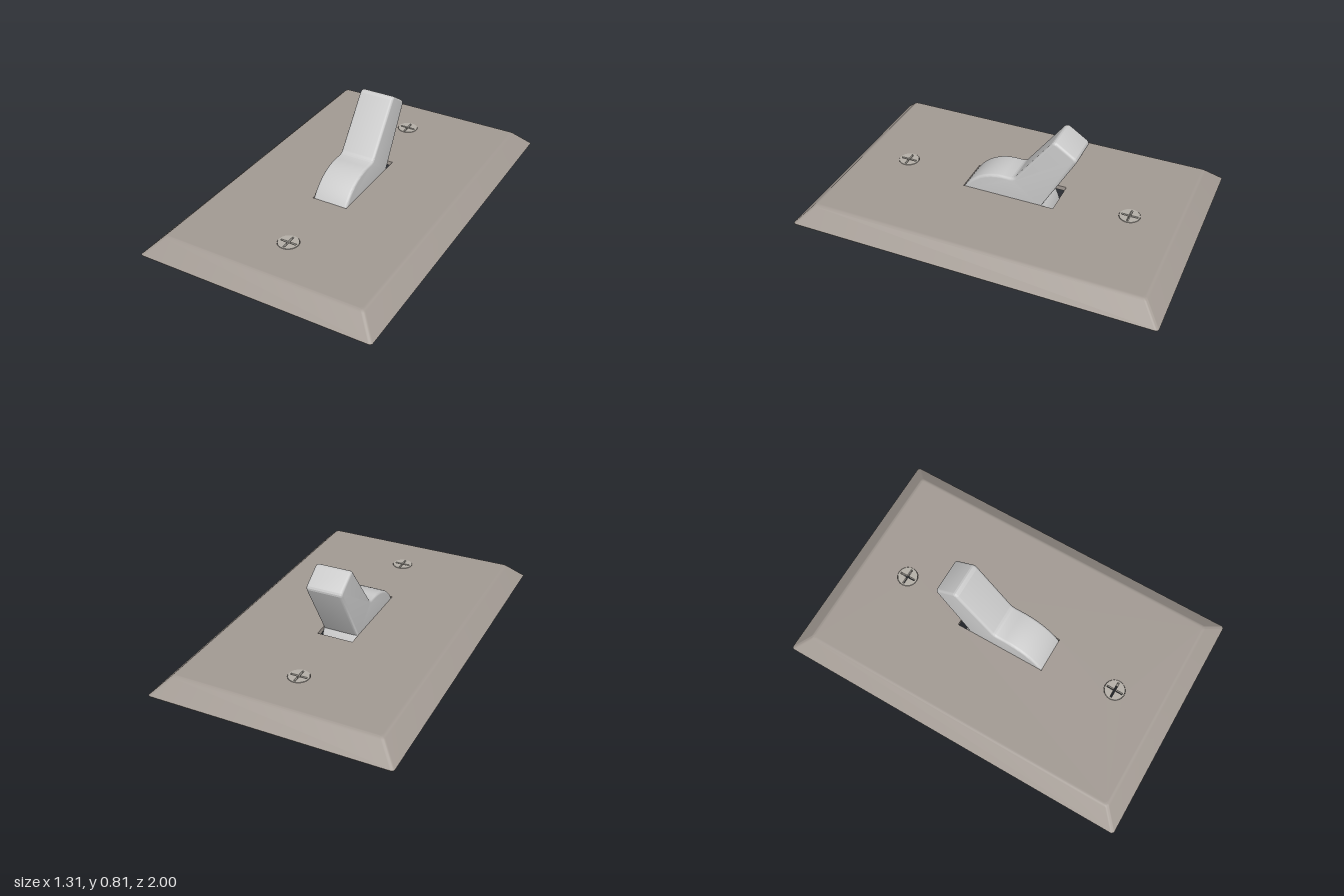
import * as THREE from 'three';
import { toCreasedNormals } from 'three/addons/utils/BufferGeometryUtils.js';

const W = 0.655, D = 1.0, TOP = 0.41, UNDER = 0.385, SCREW_Z = 0.65;

function mesh(name, geometry, material) {
  const m = new THREE.Mesh(geometry, material);
  m.name = name;
  return m;
}

// Corner-rounded rectangle loop, seen from above
function rectLoop(w, d, r, y, seg = 4) {
  const pts = [];
  [[1, 1], [1, -1], [-1, -1], [-1, 1]].forEach(([sx, sz], c) => {
    for (let i = 0; i <= seg; i++) {
      const a = Math.PI / 2 * (1 - c - i / seg);
      pts.push([sx * (w - r) + r * Math.cos(a), y, sz * (d - r) + r * Math.sin(a)]);
    }
  });
  return pts;
}

// Bevelled hollow rim, lofted from [inset, y] steps
function rimGeometry() {
  const profile = [
    [0.105, TOP], [0.099, TOP], [0.092, 0.408], [0.084, 0.402], [0.005, 0.323], [0, 0.319],
    [0.002, 0.315], [0.033, 0.315], [0.105, UNDER],
  ];
  const loops = profile.map(([inset, y]) => rectLoop(W - inset, D - inset, 0.016, y));
  const n = loops[0].length, pos = [];
  for (let k = 0; k < loops.length - 1; k++) {
    for (let i = 0; i < n; i++) {
      const j = (i + 1) % n;
      const a = loops[k][i], b = loops[k][j], c = loops[k + 1][j], d = loops[k + 1][i];
      pos.push(...a, ...d, ...c, ...a, ...c, ...b);
    }
  }
  const g = new THREE.BufferGeometry();
  g.setAttribute('position', new THREE.Float32BufferAttribute(pos, 3));
  return toCreasedNormals(g, 0.5);
}

function rectPath(Type, w, d) {
  return new Type([[-w, -d], [w, -d], [w, d], [-w, d]].map(p => new THREE.Vector2(...p)));
}

// Flat slab with the lever slot and two screw holes
function slabGeometry() {
  const shape = rectPath(THREE.Shape, W - 0.105, D - 0.105);
  shape.holes.push(rectPath(THREE.Path, 0.101, 0.26));
  for (const s of [-1, 1]) {
    shape.holes.push(new THREE.Path().absarc(0, s * SCREW_Z, 0.057, 0, Math.PI * 2));
  }
  const g = new THREE.ExtrudeGeometry(shape, { depth: TOP - UNDER, bevelEnabled: false, curveSegments: 24 });
  return g.rotateX(-Math.PI / 2).translate(0, UNDER, 0);
}

// Round rocker and angled handle, drawn in (z, y) and extruded across x
function leverGeometry() {
  const s = new THREE.Shape();
  s.absarc(0.03, 0.27, 0.265, 2.585, Math.PI * 2.5, false);
  s.lineTo(-0.015, 0.535);
  s.quadraticCurveTo(-0.033, 0.537, -0.045, 0.553);
  s.lineTo(-0.237, 0.806);
  s.quadraticCurveTo(-0.253, 0.829, -0.276, 0.814);
  s.lineTo(-0.362, 0.757);
  s.quadraticCurveTo(-0.384, 0.743, -0.371, 0.72);
  s.closePath();
  const b = 0.015;
  const g = new THREE.ExtrudeGeometry(s, {
    depth: 0.2 - 2 * b, bevelThickness: b, bevelSize: b, bevelOffset: -b, bevelSegments: 4, curveSegments: 40,
  });
  g.translate(0, 0, -0.1 + b).rotateY(-Math.PI / 2);
  return toCreasedNormals(g, 0.6);
}

// Screw head with a cross recess cut through it
function screwHeadGeometry() {
  const shape = new THREE.Shape().absarc(0, 0, 0.055, 0, Math.PI * 2);
  const a = 0.045, t = 0.005;
  const cross = [[a, t], [t, t], [t, a], [-t, a], [-t, t], [-a, t], [-a, -t], [-t, -t], [-t, -a], [t, -a], [t, -t], [a, -t]];
  shape.holes.push(new THREE.Path(cross.map(p => new THREE.Vector2(...p))));
  const g = new THREE.ExtrudeGeometry(shape, { depth: 0.024, bevelEnabled: false, curveSegments: 24 });
  return toCreasedNormals(g.rotateX(-Math.PI / 2).translate(0, 0.388, 0), 0.6);
}

// Hollow collar under each screw
function collarGeometry() {
  const pts = [[0.051, 0.388], [0.051, 0.326], [0.056, 0.32], [0.068, 0.32], [0.073, 0.325], [0.073, 0.388]];
  const g = new THREE.LatheGeometry(pts.map(p => new THREE.Vector2(...p)), 32);
  return toCreasedNormals(g, 0.5);
}

export function createModel() {
  const grey = new THREE.MeshStandardMaterial({ color: 0xcccccc });
  const plateMat = new THREE.MeshStandardMaterial({ color: 0xa39b94 });
  const screwMat = new THREE.MeshStandardMaterial({ color: 0xb5b0a8, side: THREE.DoubleSide });
  const model = new THREE.Group();
  model.name = 'toggleSwitch';

  const plate = new THREE.Group();
  plate.name = 'wallPlate';
  plate.add(mesh('plateRim', rimGeometry(), plateMat), mesh('plateFace', slabGeometry(), plateMat));
  model.add(plate, mesh('toggleLever', leverGeometry(), grey));

  const head = screwHeadGeometry(), collar = collarGeometry();
  for (const [name, z] of [['frontScrew', SCREW_Z], ['backScrew', -SCREW_Z]]) {
    const screw = new THREE.Group();
    screw.name = name;
    screw.add(mesh('screwHead', head, screwMat), mesh('screwCollar', collar, screwMat));
    screw.position.z = z;
    model.add(screw);
  }
  return model;
}
